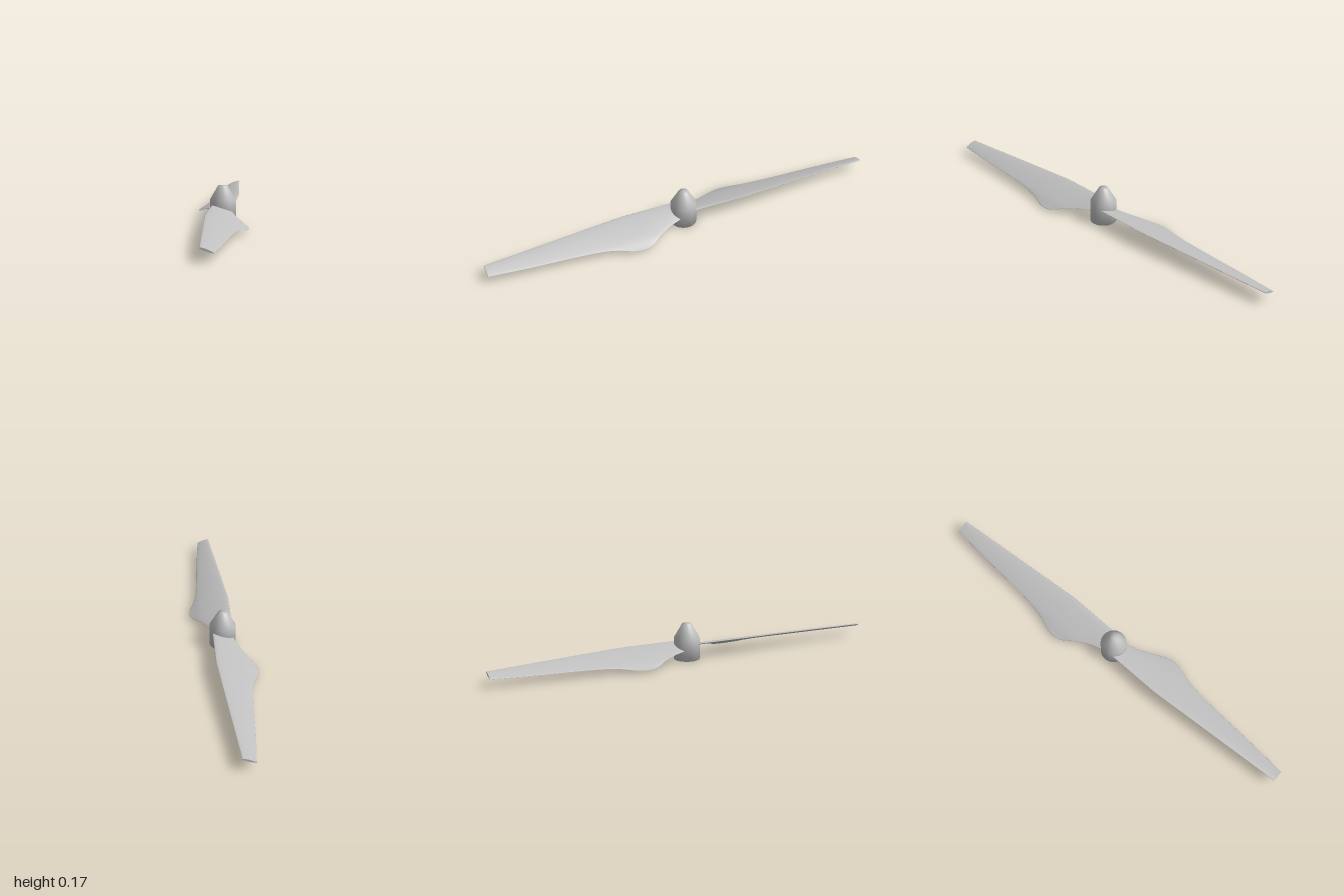
import * as THREE from 'three';

const grey = new THREE.MeshStandardMaterial({ color: 0xc0c0c0 });
grey.name = 'light grey';

// Height of the blade's arched mid surface across its width
const camber = new THREE.SplineCurve([
  [-0.05, 0.08], [0, 0.067], [0.05, 0.051], [0.1, 0.033], [0.15, 0.011],
].map(([x, y]) => new THREE.Vector2(x, y)));

// Trailing edge outline as (z, x)
const trailing = new THREE.SplineCurve([
  [0, 0.04], [0.05, 0.055], [0.1, 0.072], [0.16, 0.102], [0.22, 0.138], [0.27, 0.149],
  [0.32, 0.141], [0.38, 0.121], [0.46, 0.106], [0.6, 0.095], [0.8, 0.085], [1, 0.07],
].map(([z, x]) => new THREE.Vector2(z, x)));

const leadingX = (z) => (z < 0.3 ? -0.05 : -0.05 + 0.06 * (z - 0.3) / 0.7);
const camberY = (x) => camber.getPoint(THREE.MathUtils.clamp((x + 0.05) / 0.2, 0, 1)).y;

// Loft thin cambered sections from the hub to the tip
function bladeGeometry() {
  const RINGS = 66, N = 32;
  const pos = [], index = [];
  for (let i = 0; i <= RINGS; i++) {
    const { x: z, y: trailX } = trailing.getPoint(i / RINGS);
    const leadX = leadingX(z);
    for (let j = 0; j < N; j++) {
      const a = (j / N) * Math.PI * 2;
      const u = (1 - Math.cos(a)) / 2;
      const x = leadX + (trailX - leadX) * u;
      const half = 0.0065 * Math.sin(a) * (1 - 0.4 * u);
      pos.push(x, camberY(x) + half - 0.003 * Math.max(0, z - 0.3), z);
    }
  }
  for (let i = 0; i < RINGS; i++) {
    for (let j = 0; j < N; j++) {
      const a = i * N + j, b = i * N + (j + 1) % N;
      index.push(a, a + N, b, b, a + N, b + N);
    }
  }
  // Flat tip with its own vertices so the end stays crisp
  const first = pos.length / 3;
  pos.push(...pos.slice(RINGS * N * 3));
  for (let j = 1; j < N / 2; j++) {
    const up = first + j, low = first + N - j;
    const prevUp = up - 1, prevLow = first + (N - j + 1) % N;
    index.push(prevUp, prevLow, low, prevUp, low, up);
  }
  index.push(first + N / 2 - 1, first + N / 2 + 1, first + N / 2);

  const geo = new THREE.BufferGeometry();
  geo.setAttribute('position', new THREE.Float32BufferAttribute(pos, 3));
  geo.setIndex(index);
  geo.computeVertexNormals();
  return geo;
}

export function createModel() {
  const group = new THREE.Group();
  group.name = 'propeller';

  // Hub: straight barrel, tapered nose, closed ends
  const profile = [[0, 0], [0.063, 0], [0.063, 0.104], [0.023, 0.174], [0, 0.174]];
  const hub = new THREE.Mesh(
    new THREE.LatheGeometry(profile.map(([r, y]) => new THREE.Vector2(r, y)), 48), grey);
  hub.name = 'hub';
  group.add(hub);

  // Two blades, half a turn apart
  const geo = bladeGeometry();
  ['frontBlade', 'backBlade'].forEach((name, i) => {
    const blade = new THREE.Mesh(geo, grey);
    blade.name = name;
    blade.rotation.y = i * Math.PI;
    group.add(blade);
  });
  return group;
}
